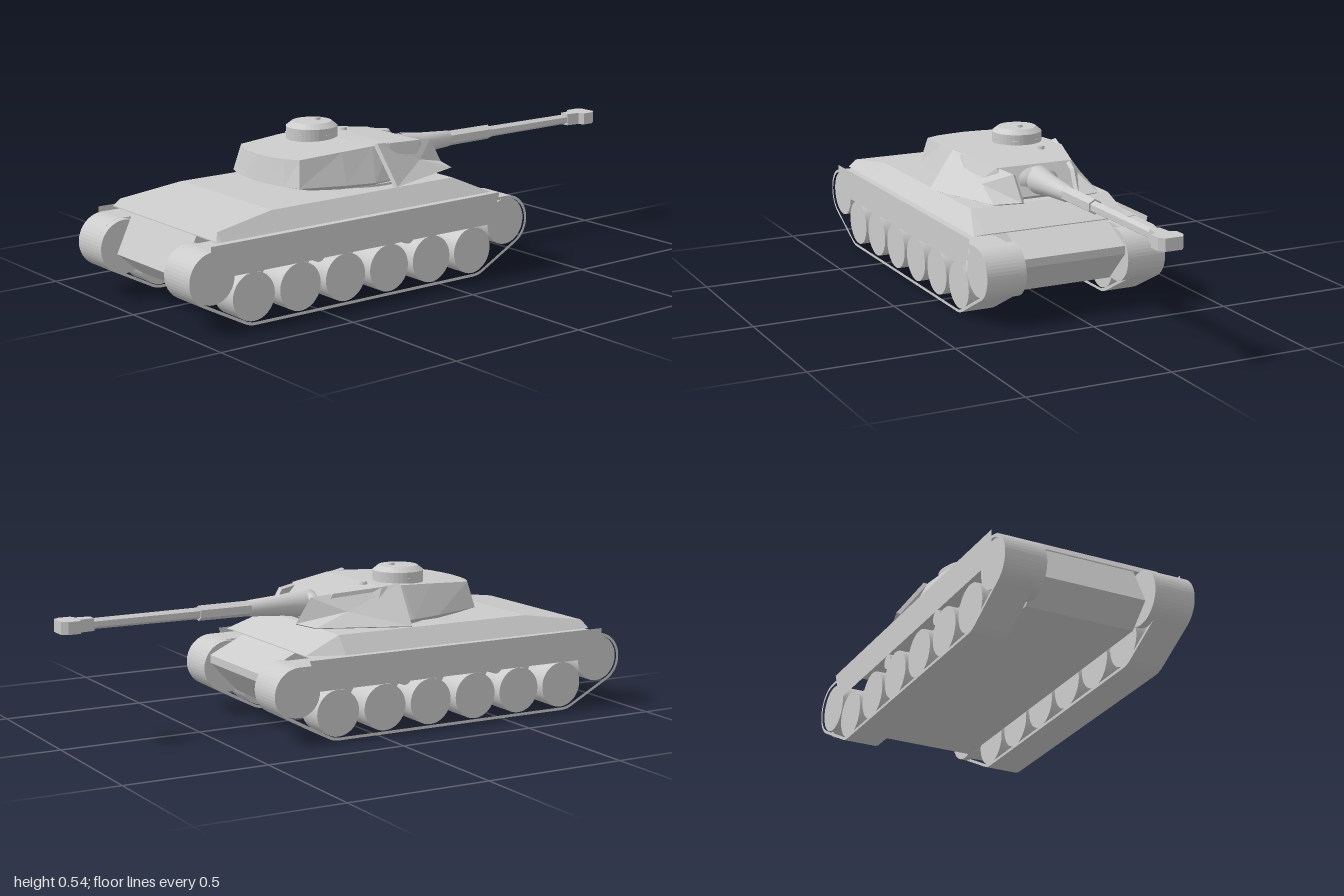
import * as THREE from 'three';

const mat = new THREE.MeshStandardMaterial({ color: 0xcccccc });
const flat = new THREE.MeshStandardMaterial({ color: 0xcccccc, flatShading: true, side: THREE.DoubleSide });

function add(parent, name, geo, material = mat) {
  const mesh = new THREE.Mesh(geo, material);
  mesh.name = name;
  parent.add(mesh);
  return mesh;
}

// Skin a body over rings of points, with fan caps when closed
function loft(rings, capped = true) {
  const pos = [];
  const n = rings[0].length;
  const tri = (...pts) => pts.forEach((p) => pos.push(...p));
  const centre = (r) => [0, 1, 2].map((k) => r.reduce((s, p) => s + p[k], 0) / n);
  const first = rings[0], last = rings[rings.length - 1];
  for (let i = 0; i < n; i++) {
    const j = (i + 1) % n;
    for (let r = 0; r + 1 < rings.length; r++) {
      const a = rings[r], b = rings[r + 1];
      tri(a[i], a[j], b[j]);
      tri(a[i], b[j], b[i]);
    }
    if (capped) {
      tri(centre(first), first[j], first[i]);
      tri(centre(last), last[i], last[j]);
    }
  }
  const geo = new THREE.BufferGeometry();
  geo.setAttribute('position', new THREE.Float32BufferAttribute(pos, 3));
  geo.computeVertexNormals();
  return geo;
}

const toVectors = (points) => points.map((p) => new THREE.Vector2(...p));

// Extrude a side profile of [z, y] points between two x positions
function sideExtrude(points, x0, x1, hole) {
  const shape = new THREE.Shape(toVectors(points));
  if (hole) shape.holes.push(new THREE.Path(toVectors(hole)));
  const geo = new THREE.ExtrudeGeometry(shape, { depth: x1 - x0, bevelEnabled: false });
  return geo.rotateY(-Math.PI / 2).translate(x1, 0, 0);
}

// Wheel with its axle along x
function wheel(r, x0, x1, y, z) {
  return new THREE.CylinderGeometry(r, r, x1 - x0, 36).rotateZ(Math.PI / 2).translate((x0 + x1) / 2, y, z);
}

const REAR = [0.909, 0.171], NOSE = [-0.297, 0.171];
const ROAD_Y = 0.091, FIRST = 0.756, STEP = 0.1806, BELT_R = 0.091;

// Outline of the track belt at radius r around the wheel centres
function beltOutline(r) {
  const arcs = [
    [...REAR, 90, -62, 20], [FIRST, ROAD_Y, -62, -90, 5],
    [FIRST - 5 * STEP, ROAD_Y, -90, -119, 5], [...NOSE, -119, -270, 20],
  ];
  const pts = [];
  for (const [z, y, a0, a1, n] of arcs) {
    for (let i = 0; i <= n; i++) {
      const a = THREE.MathUtils.degToRad(a0 + ((a1 - a0) * i) / n);
      pts.push([z + r * Math.cos(a), y + r * Math.sin(a)]);
    }
  }
  return pts;
}

// Everything that repeats on each side, built for +x
function buildSide(name) {
  const side = new THREE.Group();
  side.name = name;
  add(side, 'trackBelt', sideExtrude(beltOutline(BELT_R), 0.214, 0.333, beltOutline(BELT_R - 0.01)));
  for (const [z, y] of [REAR, NOSE]) {
    add(side, 'drumFlange', wheel(BELT_R, 0.19, 0.214, y, z));
    add(side, 'drumWheel', wheel(BELT_R - 0.01, 0.2, 0.325, y, z));
  }
  for (let i = 0; i < 6; i++) {
    add(side, 'roadWheel', wheel(0.08, 0.218, 0.325, ROAD_Y, FIRST - i * STEP));
  }
  for (const z of [0.49, 0.12]) add(side, 'returnRoller', wheel(0.025, 0.19, 0.31, 0.18, z));

  // Sheet skirt hanging just outside the track
  const skirt = [[0.92, 0.28], [0.92, 0.21], [0.865, 0.174], [-0.225, 0.174], [-0.26, 0.28]];
  const sheet = new THREE.ShapeGeometry(new THREE.Shape(toVectors(skirt)));
  add(side, 'sideSkirt', sheet.rotateY(-Math.PI / 2).translate(0.336, 0, 0), flat);

  // Spaced armour beside the turret, wrapping round its front corner
  const outer = [
    [0.296, 0.351, 0.155], [0.2, 0.357, -0.16], [0.108, 0.36, -0.188], [0.115, 0.447, -0.135], [0.2, 0.482, 0.165],
  ];
  const inner = outer.map(([x, y, z]) => [x - 0.012, y - 0.005, z + 0.006]);
  add(side, 'cheekPlate', loft([inner, outer]), flat);
  return side;
}

function buildHull() {
  const hull = new THREE.Group();
  hull.name = 'hull';
  add(hull, 'lowerHull', sideExtrude([
    [0.875, 0.285], [0.94, 0.15], [0.86, 0.08], [-0.26, 0.08],
    [-0.365, 0.19], [-0.365, 0.218], [-0.11, 0.339], [0.6, 0.335],
  ], -0.19, 0.19), flat);
  // z, top height, top half width
  const sections = [
    [-0.24, 0.283, 0.27], [-0.11, 0.34, 0.262], [0.64, 0.34, 0.262], [0.865, 0.308, 0.287], [0.88, 0.283, 0.305],
  ];
  add(hull, 'upperHull', loft(sections.map(([z, y, w]) => [
    [-0.311, 0.28, z], [0.311, 0.28, z], [w, y, z], [-w, y, z],
  ])), flat);
  return hull;
}

function buildTurret() {
  const turret = new THREE.Group();
  turret.name = 'turret';
  add(turret, 'turretRing', new THREE.CylinderGeometry(0.215, 0.215, 0.03, 40).translate(0, 0.333, 0.14));

  // Half outlines from front to rear: x, y, z
  const foot = [[0.11, 0.347, -0.1], [0.19, 0.347, 0.04], [0.21, 0.347, 0.2], [0.195, 0.348, 0.32],
    [0.165, 0.353, 0.42], [0.13, 0.354, 0.438], [0.07, 0.355, 0.448], [0, 0.355, 0.45]];
  const waist = [[0.13, 0.36, -0.12], [0.222, 0.36, 0.04], [0.236, 0.36, 0.2], [0.222, 0.364, 0.31],
    [0.189, 0.371, 0.478], [0.135, 0.372, 0.501], [0.07, 0.372, 0.515], [0, 0.372, 0.52]];
  const roof = [[0.143, 0.457, -0.065], [0.19, 0.474, 0.1], [0.192, 0.474, 0.18], [0.184, 0.469, 0.3],
    [0.167, 0.46, 0.46], [0.12, 0.459, 0.485], [0.06, 0.458, 0.499], [0, 0.458, 0.504]];
  const ring = (half) => [...half].reverse().concat(half.slice(0, -1).map(([x, y, z]) => [-x, y, z]));
  const spine = roof.map(([, y, z]) => [0, y, z]);
  add(turret, 'turretShell', loft([foot, waist, roof, spine].map(ring), false), flat);

  // Commander's cupola
  const profile = [[0.088, 0.455], [0.088, 0.51], [0.068, 0.526], [0, 0.527]];
  const cupola = new THREE.Group();
  cupola.name = 'cupola';
  cupola.position.set(-0.078, 0, 0.23);
  turret.add(cupola);
  add(cupola, 'cupolaBody', new THREE.LatheGeometry(toVectors(profile), 36), flat);
  add(cupola, 'hatchKnob', new THREE.CylinderGeometry(0.01, 0.01, 0.01, 12).translate(0, 0.53, -0.025));
  for (let i = 0; i < 6; i++) {
    const a = (i + 0.5) * Math.PI / 3;
    add(cupola, 'visionSlit', new THREE.BoxGeometry(0.02, 0.002, 0.003).translate(0, 0.488, 0.088).rotateY(a));
  }
  add(turret, 'periscope', new THREE.CylinderGeometry(0.012, 0.015, 0.016, 12).translate(-0.098, 0.474, 0.08));
  return turret;
}

function buildGun() {
  const gun = new THREE.Group();
  gun.name = 'gun';
  gun.position.y = 0.407;
  // Radius and distance forward of each step
  const lathe = (pts, sides) => new THREE.LatheGeometry(toVectors(pts), sides).rotateX(-Math.PI / 2);
  add(gun, 'mantletCollar', lathe([[0, 0.04], [0.073, 0.06], [0.073, 0.1], [0, 0.112]], 24).scale(1, 0.6, 1));
  add(gun, 'mantlet', lathe([[0.05, 0.09], [0.044, 0.13], [0.037, 0.18], [0.028, 0.31], [0, 0.31]], 20));
  add(gun, 'barrelSleeve', lathe([[0, 0.3], [0.027, 0.3], [0.026, 0.5], [0, 0.5]], 6), flat);
  add(gun, 'barrel', lathe([[0, 0.49], [0.02, 0.49], [0.018, 0.95], [0, 0.95]], 6), flat);
  // Wide, flat muzzle brake
  const half = [[0.018, 0.88], [0.024, 0.93], [0.045, 0.938], [0.045, 0.98], [0.03, 1]];
  const plan = half.concat([...half].reverse().map(([x, z]) => [-x, z]));
  const brake = new THREE.ExtrudeGeometry(new THREE.Shape(toVectors(plan)), { depth: 0.042, bevelEnabled: false });
  add(gun, 'muzzleBrake', brake.translate(0, 0, -0.021).rotateX(-Math.PI / 2), flat);
  return gun;
}

export function createModel() {
  const model = new THREE.Group();
  model.name = 'tank';
  const left = buildSide('leftRunningGear');
  const right = buildSide('rightRunningGear');
  right.scale.x = -1;
  model.add(buildHull(), left, right, buildTurret(), buildGun());
  return model;
}
